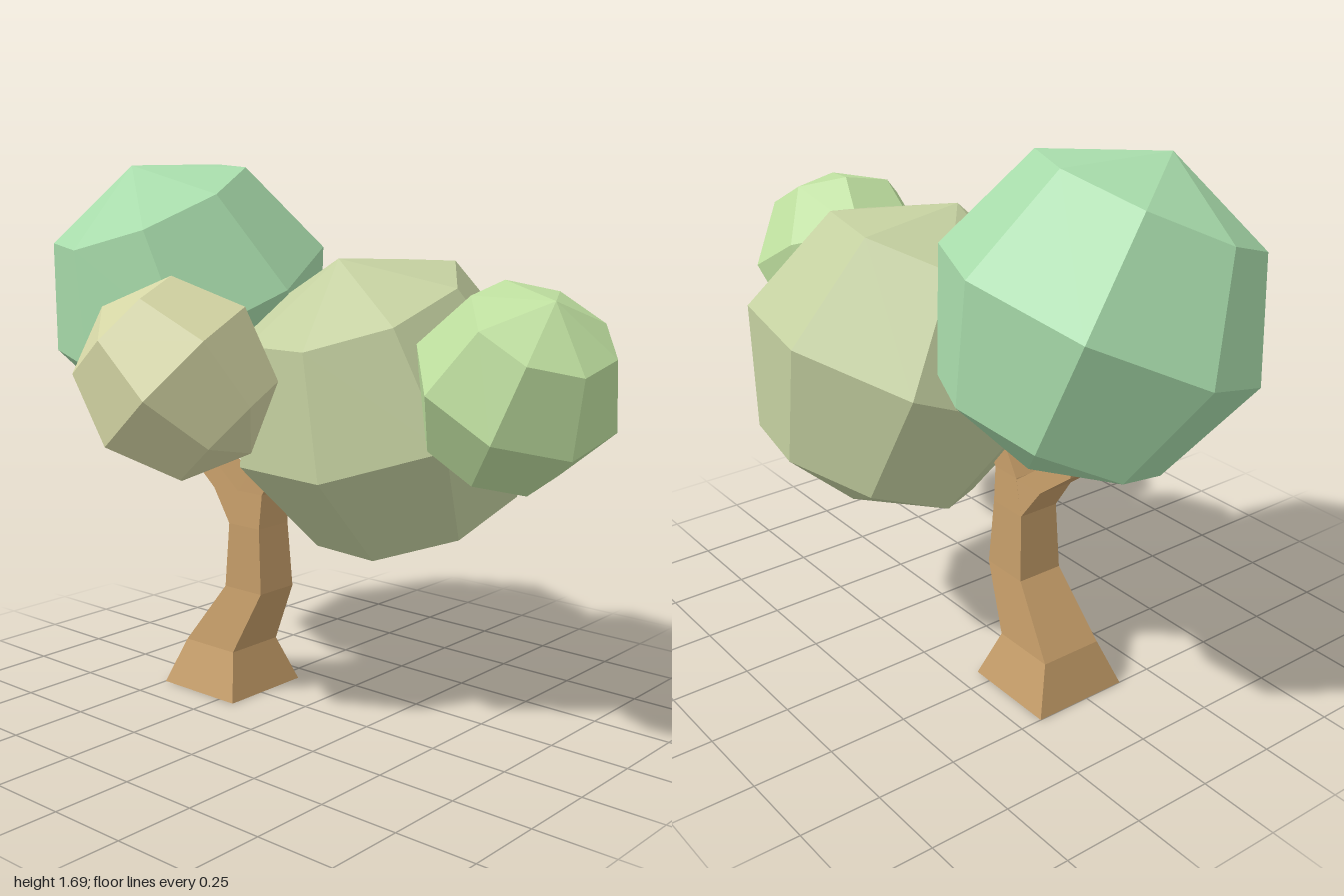
import * as THREE from 'three';

const material = (color) => new THREE.MeshStandardMaterial({ color, flatShading: true });

// Low-poly foliage ball: pole points to its top, side to one equator vertex
function foliage(name, color, radius, center, pole, side) {
  const y = new THREE.Vector3(...pole).normalize();
  const z = new THREE.Vector3(...side).cross(y).normalize();
  const x = new THREE.Vector3().crossVectors(y, z);
  const mesh = new THREE.Mesh(new THREE.SphereGeometry(radius, 8, 4), material(color));
  mesh.name = name;
  mesh.quaternion.setFromRotationMatrix(new THREE.Matrix4().makeBasis(x, y, z));
  mesh.position.set(...center);
  return mesh;
}

// Four-sided limb through level sections [x, y, z, halfWidth, halfDepth]
function limb(name, mat, sections) {
  const n = sections.length - 1;
  const geometry = new THREE.BoxGeometry(2, 1, 2, 1, n, 1);
  const p = geometry.attributes.position;
  for (let i = 0; i < p.count; i++) {
    const [x, y, z, w, d] = sections[Math.round((p.getY(i) + 0.5) * n)];
    p.setXYZ(i, x + p.getX(i) * w, y, z + p.getZ(i) * d);
  }
  geometry.computeVertexNormals();
  const mesh = new THREE.Mesh(geometry, mat);
  mesh.name = name;
  return mesh;
}

export function createModel() {
  const tree = new THREE.Group();
  tree.name = 'tree';
  const bark = material(0xc49c68);

  // Bent trunk with a flared foot, forking in two
  const fork = [0.022, 0.56, -0.22, 0.067, 0.065];
  tree.add(
    limb('trunk', bark, [
      [0.022, 0, -0.345, 0.157, 0.155],
      [0.022, 0.145, -0.345, 0.102, 0.105],
      [0.025, 0.35, -0.222, 0.075, 0.078],
      fork,
    ]),
    limb('frontBranch', bark, [
      fork,
      [0.022, 0.67, -0.2, 0.058, 0.05],
      [0.022, 0.85, -0.08, 0.05, 0.045],
    ]),
    limb('backBranch', bark, [
      fork,
      [0.022, 0.665, -0.305, 0.058, 0.055],
      [0.022, 0.76, -0.428, 0.05, 0.053],
      [0.022, 0.9, -0.48, 0.035, 0.03],
    ]),
  );

  // Foliage balls, each tilted its own way
  tree.add(
    foliage('backFoliage', 0xa8dcab, 0.468, [0.035, 1.257, -0.535], [-0.18, 0.427, -0.065], [-0.035, 0.055, 0.465]),
    foliage('middleFoliage', 0xc4d0a0, 0.488, [0.195, 0.96, 0.155], [-0.175, 0.46, -0.045], [0.445, 0.17, -0.115]),
    foliage('frontFoliage', 0xbfe0a0, 0.295, [0.035, 1.09, 0.73], [-0.055, 0.248, 0.15], [0.082, 0.175, -0.222]),
    foliage('sideFoliage', 0xd4d5a4, 0.304, [-0.375, 1.07, -0.168], [-0.38, 0.69, -0.61], [-0.87, -0.055, 0.48]),
  );
  return tree;
}
